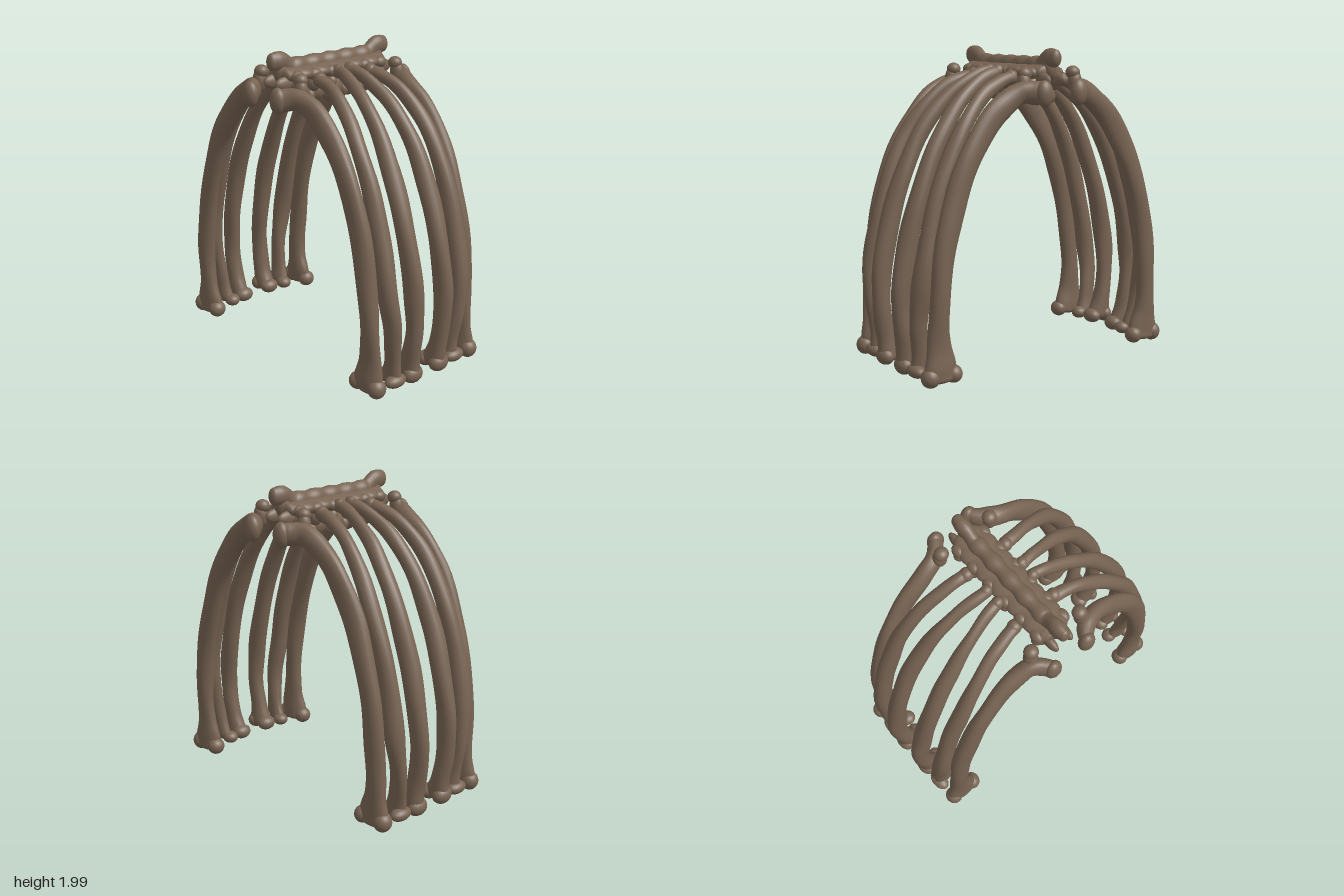
import * as THREE from 'three';

const bone = new THREE.MeshStandardMaterial({ color: 0x786453 });
bone.name = 'weatheredBone';

// Smooth oval tube through [x, y, z, a, b]: a is the half width across `ref`, b along it
function boneTube(name, pts, ref, { steps = 72, sides = 20, lump = 0, seed = 0 } = {}) {
  const path = new THREE.CatmullRomCurve3(pts.map(p => new THREE.Vector3(p[0], p[1], p[2])));
  const size = new THREE.CatmullRomCurve3(pts.map(p => new THREE.Vector3(p[3], p[4], 0)));
  const pos = [], index = [];
  const cap = 0.028;
  for (let i = 0; i <= steps; i++) {
    // Cosine spacing puts more rings at the rounded ends
    const t = (1 - Math.cos(Math.PI * i / steps)) / 2;
    const c = path.getPoint(t), s = size.getPoint(t), T = path.getTangent(t);
    const B = ref.clone().addScaledVector(T, -ref.dot(T)).normalize();
    const N = B.clone().cross(T);
    const e = Math.min(1, Math.min(t, 1 - t) / cap);
    const round = Math.sqrt(Math.max(0, 1 - (1 - e) ** 2));
    for (let j = 0; j < sides; j++) {
      const q = j / sides * Math.PI * 2;
      const k = round * (1 + lump * (Math.sin(t * 23 + seed + 2 * q) + 0.7 * Math.sin(t * 41 + seed * 2 - q)));
      const p = c.clone().addScaledVector(N, Math.cos(q) * s.x * k).addScaledVector(B, Math.sin(q) * s.y * k);
      pos.push(p.x, p.y, p.z);
      if (i < steps) {
        const a = i * sides + j, b = i * sides + (j + 1) % sides;
        index.push(a, b, a + sides, b, b + sides, a + sides);
      }
    }
  }
  const g = new THREE.BufferGeometry();
  g.setAttribute('position', new THREE.Float32BufferAttribute(pos, 3));
  g.setIndex(index);
  g.computeVertexNormals();
  const mesh = new THREE.Mesh(g, bone);
  mesh.name = name;
  return mesh;
}

function knob(name, [x, y, z], [rx, ry, rz]) {
  const g = new THREE.SphereGeometry(1, 20, 14);
  g.scale(rx, ry, rz);
  const mesh = new THREE.Mesh(g, bone);
  mesh.name = name;
  mesh.position.set(x, y, z);
  return mesh;
}

// One quarter of the cage: [x, y, z, radial half width, half width along z]
const ribs = {
  endRib: [
    [0.115, 1.735, 0.565, 0.065, 0.035], [0.16, 1.74, 0.495, 0.07, 0.05], [0.22, 1.74, 0.445, 0.07, 0.055],
    [0.30, 1.705, 0.425, 0.072, 0.055], [0.40, 1.625, 0.42, 0.075, 0.052], [0.51, 1.495, 0.42, 0.077, 0.05],
    [0.615, 1.32, 0.42, 0.077, 0.052], [0.70, 1.10, 0.42, 0.073, 0.055], [0.765, 0.85, 0.42, 0.069, 0.056],
    [0.80, 0.60, 0.42, 0.066, 0.056], [0.812, 0.40, 0.415, 0.066, 0.05], [0.81, 0.24, 0.41, 0.078, 0.05],
    [0.80, 0.12, 0.41, 0.108, 0.058], [0.795, 0.03, 0.41, 0.115, 0.06]],
  secondRib: [
    [0.12, 1.82, 0.215, 0.042, 0.042], [0.22, 1.805, 0.228, 0.042, 0.04], [0.34, 1.75, 0.25, 0.045, 0.04],
    [0.48, 1.63, 0.28, 0.048, 0.044], [0.61, 1.45, 0.305, 0.052, 0.05], [0.72, 1.21, 0.312, 0.057, 0.055],
    [0.81, 0.91, 0.315, 0.062, 0.057], [0.865, 0.62, 0.315, 0.064, 0.06], [0.875, 0.40, 0.285, 0.057, 0.05],
    [0.855, 0.20, 0.262, 0.06, 0.042], [0.83, 0.05, 0.25, 0.088, 0.05]],
  middleRib: [
    [0.10, 1.855, 0.04, 0.042, 0.035], [0.21, 1.83, 0.058, 0.042, 0.037], [0.34, 1.76, 0.08, 0.045, 0.037],
    [0.475, 1.65, 0.102, 0.05, 0.044], [0.61, 1.47, 0.12, 0.053, 0.052], [0.735, 1.22, 0.13, 0.058, 0.06],
    [0.835, 0.92, 0.132, 0.062, 0.06], [0.893, 0.62, 0.13, 0.066, 0.055], [0.905, 0.40, 0.125, 0.06, 0.05],
    [0.875, 0.20, 0.122, 0.062, 0.055], [0.845, 0.04, 0.118, 0.092, 0.065]],
};

// Rounded ends and joints: name, centre, radii
const knobs = [
  ['endRibHead', [0.13, 1.735, 0.535], [0.056, 0.082, 0.045]],
  ['endRibTubercle', [0.185, 1.85, 0.402], [0.046, 0.042, 0.045]],
  ['endRibNeck', [0.195, 1.79, 0.41], [0.046, 0.075, 0.044]],
  ['endRibInnerCondyle', [0.715, 0.075, 0.415], [0.055, 0.056, 0.06]],
  ['endRibOuterCondyle', [0.875, 0.075, 0.415], [0.058, 0.062, 0.06]],
  ['secondRibHead', [0.15, 1.822, 0.215], [0.046, 0.046, 0.044]],
  ['secondRibInnerCondyle', [0.77, 0.075, 0.24], [0.055, 0.042, 0.052]],
  ['secondRibOuterCondyle', [0.885, 0.08, 0.265], [0.05, 0.042, 0.08]],
  ['middleRibHead', [0.135, 1.85, 0.05], [0.045, 0.045, 0.038]],
  ['middleRibInnerCondyle', [0.79, 0.075, 0.118], [0.055, 0.05, 0.068]],
  ['middleRibOuterCondyle', [0.89, 0.08, 0.118], [0.053, 0.058, 0.074]],
];

export function createModel() {
  const model = new THREE.Group();
  const alongZ = new THREE.Vector3(0, 0, 1), alongY = new THREE.Vector3(0, 1, 0);

  // Ribs with their joints, mirrored left to right and front to back
  for (const sx of [1, -1]) for (const sz of [1, -1]) {
    const quarter = new THREE.Group();
    quarter.name = (sx > 0 ? 'left' : 'right') + (sz > 0 ? 'Front' : 'Back') + 'Ribs';
    Object.entries(ribs).forEach(([name, pts], i) => {
      const mirrored = pts.map(([x, y, z, a, b]) => [x * sx, y, z * sz, a, b]);
      quarter.add(boneTube(name, mirrored, alongZ, { lump: 0.04, seed: i * 2 + sx + sz * 0.5 }));
    });
    for (const [name, [x, y, z], r] of knobs) quarter.add(knob(name, [x * sx, y, z * sz], r));
    model.add(quarter);
  }

  // Spine: wavy core, roof plate and a crest that rises at both ends
  const spine = new THREE.Group();
  spine.name = 'spine';
  const run = (len, f) => Array.from({ length: 45 }, (_, i) => f((i / 22 - 1) * len));
  const wave = z => Math.cos(z * Math.PI * 2 / 0.14);
  const opts = { steps: 90 };
  spine.add(boneTube('spineCore', run(0.38, z => [0, 1.73, z, 0.072 + 0.008 * wave(z), 0.07 + 0.012 * wave(z)]), alongY, opts));
  spine.add(boneTube('spineRoof', run(0.43, z => {
    const taper = Math.min(1, (0.5 - Math.abs(z)) / 0.13);
    return [0, 1.855, z, (0.118 + 0.008 * wave(z)) * taper, 0.05];
  }), alongY, opts));
  spine.add(boneTube('spineCrest', run(0.5, z => {
    const rise = THREE.MathUtils.smoothstep(Math.abs(z), 0.30, 0.42);
    return [0, 1.89 + 0.052 * rise, z, 0.052 + 0.006 * wave(z) - 0.01 * rise, 0.06 + 0.004 * wave(z) - 0.003 * rise];
  }), alongY, opts));

  // Prongs below each end of the crest
  for (const sz of [1, -1]) {
    spine.add(knob('crestNeck', [0, 1.88, 0.40 * sz], [0.045, 0.075, 0.05]));
    for (const sx of [1, -1]) spine.add(knob('endProng', [0.055 * sx, 1.81, 0.41 * sz], [0.03, 0.045, 0.08]));
  }

  // Side processes of each vertebra
  for (const sx of [1, -1]) for (let i = 0; i < 6; i++) {
    const z = (i - 2.5) * 0.14;
    spine.add(knob('vertebraWing', [0.095 * sx, 1.85, z], [0.04, 0.038, 0.05]));
    spine.add(knob('vertebraFacet', [0.085 * sx, 1.785, z], [0.045, 0.045, 0.038]));
    spine.add(knob('vertebraRim', [0.05 * sx, 1.705, z], [0.035, 0.045, 0.03]));
  }
  model.add(spine);
  return model;
}
